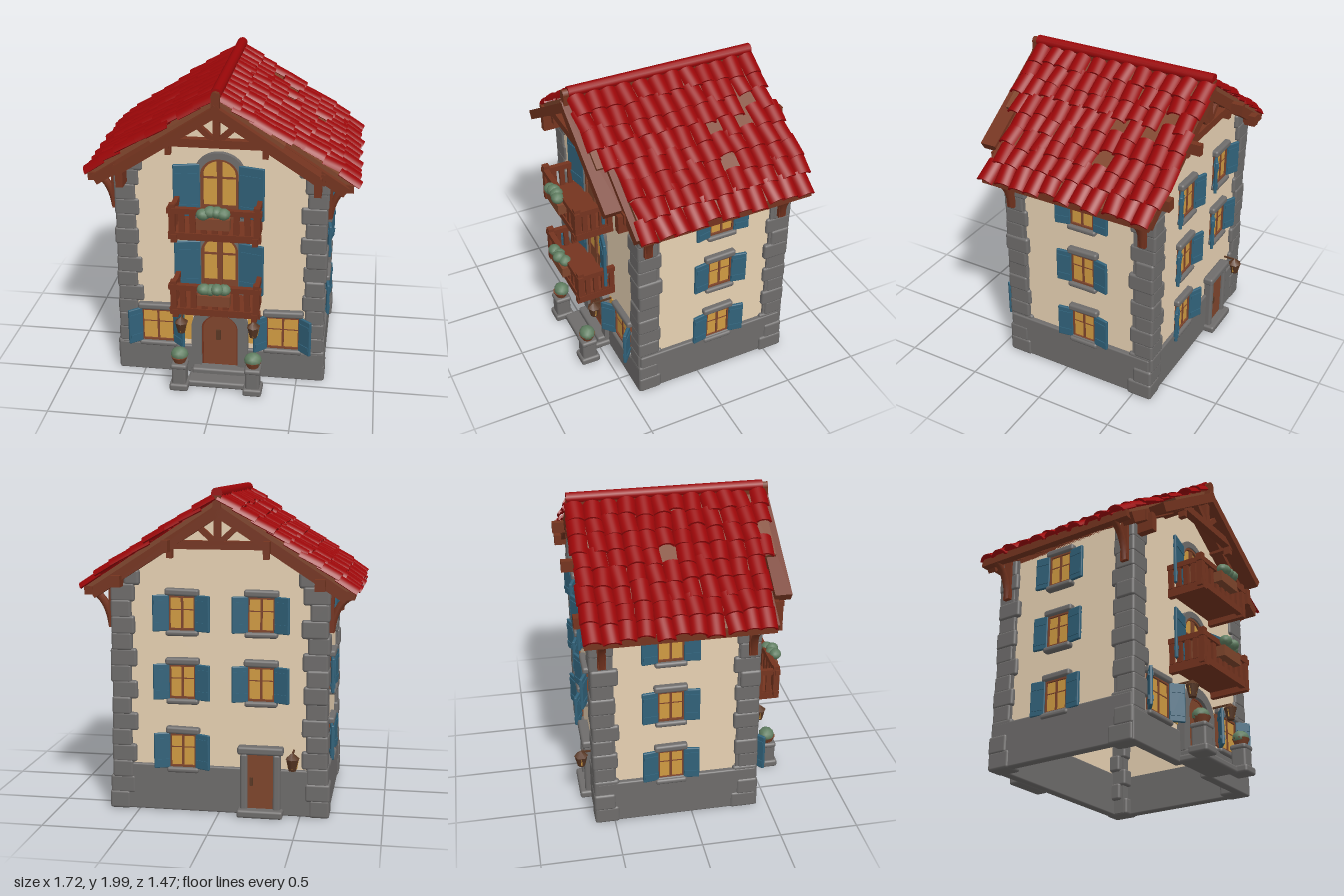
import * as THREE from 'three';
import { toCreasedNormals } from 'three/addons/utils/BufferGeometryUtils.js';
import { RoundedBoxGeometry } from 'three/addons/geometries/RoundedBoxGeometry.js';

const mat = (name, color) => Object.assign(new THREE.MeshStandardMaterial({ color }), { name });
const M = {
  tile: mat('roof red', 0x9a0608), plaster: mat('cream plaster', 0xead4b5), stone: mat('grey stone', 0x6e6c6b),
  wood: mat('red brown wood', 0x75341f), door: mat('rust brown', 0x7f452c), teal: mat('shutter teal', 0x31627a),
  glass: mat('amber glass', 0xd09b42), leaf: mat('leaf green', 0x617f62), iron: mat('dark bronze', 0x5a3824),
};
let seed = 7;
const rnd = (a = 1) => { seed = (seed * 16807) % 2147483647; return (seed / 2147483647 - 0.5) * 2 * a; };

function add(parent, name, geo, material, x = 0, y = 0, z = 0) {
  const m = new THREE.Mesh(geo, material);
  m.name = name;
  m.position.set(x, y, z);
  parent.add(m);
  return m;
}
function sub(parent, name, x = 0, y = 0, z = 0, ry = 0) {
  const g = new THREE.Group();
  g.name = name;
  g.position.set(x, y, z);
  g.rotation.y = ry;
  parent.add(g);
  return g;
}
const box = (p, name, m, w, h, d, x, y, z) => add(p, name, new THREE.BoxGeometry(w, h, d), m, x, y, z);
const soft = (p, name, m, w, h, d, x, y, z, r = 0.015) => add(p, name, new RoundedBoxGeometry(w, h, d, 2, r), m, x, y, z);
// timber between two points of an upright plane
function beam(p, name, x1, y1, x2, y2, z, t, d) {
  const b = box(p, name, M.wood, Math.hypot(x2 - x1, y2 - y1), t, d, (x1 + x2) / 2, (y1 + y2) / 2, z);
  b.rotation.z = Math.atan2(y2 - y1, x2 - x1);
}
// round-topped outline standing on y = 0
function arch(w, h, Kind = THREE.Shape) {
  const s = new Kind(), rise = w * 0.45;
  s.moveTo(-w / 2, 0);
  s.lineTo(w / 2, 0);
  s.lineTo(w / 2, h - rise);
  s.absellipse(0, h - rise, w / 2, rise, 0, Math.PI, false, 0);
  s.lineTo(-w / 2, 0);
  return s;
}
const extrude = (shape, depth) => toCreasedNormals(new THREE.ExtrudeGeometry(shape, { depth, bevelEnabled: false, curveSegments: 10 }), 0.6);
function archRing(w, h, t, depth) {
  const s = arch(w + 2 * t, h + t);
  s.holes.push(arch(w, h, THREE.Path));
  return extrude(s, depth);
}
// pentagon wall from height y0 up to the roof, with rectangular openings [x0, x1, y0, y1]
function gableWall(y0, openings = []) {
  const wall = new THREE.Shape([[-0.64, y0], [0.64, y0], [0.64, 1.46], [0, 1.87], [-0.64, 1.46]].map(q => new THREE.Vector2(...q)));
  for (const [l, r, b, t] of openings) wall.holes.push(new THREE.Path([[l, b], [l, t], [r, t], [r, b]].map(q => new THREE.Vector2(...q))));
  return extrude(wall, 0.03);
}

// pair of plank shutters swung partly open, centred on y = 0
function shutters(p, w, sw, h, angle) {
  for (const s of [-1, 1]) {
    const g = sub(p, 'shutter', s * w / 2, 0, 0.018, -s * (angle + rnd(0.05)));
    soft(g, 'shutterPanel', M.teal, sw, h, 0.02, s * sw / 2, 0, 0, 0.006);
    for (const y of [-0.3, 0.3]) box(g, 'shutterBatten', M.teal, sw * 0.85, 0.025, 0.03, s * sw / 2, y * h, 0);
  }
}
function windowUnit(p, x, y, z, ry, w = 0.16, h = 0.2, angle = 0.15) {
  const g = sub(p, 'window', x, y, z, ry);
  box(g, 'glass', M.glass, w, h, 0.008, 0, 0, 0.006);
  for (const s of [-1, 1]) {
    box(g, 'frameSide', M.door, 0.018, h, 0.026, s * w / 2, 0, 0.008);
    box(g, 'frameRail', M.door, w, 0.016, 0.026, 0, s * h / 2, 0.008);
  }
  box(g, 'glazingBar', M.door, w, 0.006, 0.014, 0, h * 0.1, 0.006);
  box(g, 'mullion', M.door, 0.014, h, 0.02, 0, 0, 0.006);
  soft(g, 'lintel', M.stone, w + 0.05, 0.045, 0.055, 0, h / 2 + 0.025, 0.01).rotation.z = rnd(0.03);
  soft(g, 'sill', M.stone, w + 0.04, 0.035, 0.06, 0, -h / 2 - 0.022, 0.012);
  shutters(g, w, 0.1, h * 1.1, angle);
}
function lantern(p, x, y, z, dir) {
  const g = sub(p, 'lantern', x, y, z);
  add(g, 'lanternCage', new THREE.CylinderGeometry(0.042, 0.024, 0.075, 6), M.iron);
  add(g, 'lanternLight', new THREE.CylinderGeometry(0.036, 0.028, 0.05, 4), M.glass);
  add(g, 'lanternCap', new THREE.ConeGeometry(0.045, 0.04, 6), M.iron, 0, 0.055, 0);
  box(g, 'lanternArm', M.iron, 0.01, 0.01, 0.13, 0, 0.065, -dir * 0.06);
}
function bush(p, n, w, y, z, r) {
  for (let i = 0; i < n; i++) {
    const b = add(p, 'foliage', new THREE.IcosahedronGeometry(r, 1), M.leaf, n > 1 ? (i / (n - 1) - 0.5) * w : 0, y + rnd(0.01), z + rnd(0.014));
    b.scale.set(1.1, 0.9, 1);
    b.rotation.y = i;
  }
}

function balcony(p, y) {
  const g = sub(p, 'balcony', 0, y, 0.41);
  box(g, 'balconyFloor', M.wood, 0.52, 0.025, 0.25, 0, 0.01, 0.125);
  box(g, 'floorBeam', M.wood, 0.56, 0.045, 0.035, 0, 0, 0.235);
  box(g, 'frontRail', M.wood, 0.57, 0.035, 0.035, 0, 0.165, 0.24);
  for (const s of [-1, 1]) {
    box(g, 'sideRail', M.wood, 0.03, 0.035, 0.25, s * 0.255, 0.165, 0.12);
    box(g, 'sideBeam', M.wood, 0.035, 0.05, 0.27, s * 0.245, -0.015, 0.125);
    box(g, 'cornerPost', M.wood, 0.038, 0.22, 0.04, s * 0.255, 0.095, 0.235);
    for (const z of [0.02, 0.075, 0.13, 0.185]) box(g, 'sideBaluster', M.wood, 0.02, 0.15, 0.032, s * 0.255, 0.09, z);
  }
  for (let i = -3; i <= 3; i++) box(g, 'baluster', M.wood, 0.036, 0.15, 0.02, i * 0.066, 0.09, 0.235).rotation.z = rnd(0.05);
  box(g, 'planter', M.door, 0.2, 0.07, 0.06, 0, 0.105, 0.265);
  bush(g, 4, 0.12, 0.173, 0.27, 0.04);
  // arched balcony doorway behind
  const d = sub(g, 'balconyDoor', 0, 0.015, 0);
  add(d, 'doorGlass', extrude(arch(0.21, 0.4), 0.008), M.glass, 0, 0, 0.002);
  add(d, 'doorFrame', archRing(0.2, 0.39, 0.018, 0.025), M.door);
  box(d, 'doorMullion', M.door, 0.034, 0.385, 0.02, 0, 0.195, 0.01);
  box(d, 'doorBar', M.door, 0.2, 0.012, 0.02, 0, 0.28, 0.008);
  box(d, 'doorPanel', M.door, 0.2, 0.1, 0.012, 0, 0.05, 0.008);
  add(d, 'stoneArch', archRing(0.235, 0.405, 0.04, 0.035), M.stone);
  shutters(sub(d, 'doorShutters', 0, 0.2, 0.01), 0.24, 0.165, 0.34, 0.22);
}

// one slope of the roof; s is the side, local x runs down the slope
const TILT = 0.576;
function roofSlope(p, s) {
  const g = sub(p, 'roofSlope', 0, 1.925, 0);
  g.rotation.z = -s * TILT;
  box(g, 'roofDeck', M.door, 0.95, 0.03, 1.1, s * 0.475, -0.012, -0.1);
  box(g, 'frontDeck', M.door, 0.48, 0.03, 0.12, s * 0.24, -0.012, 0.5);
  // curved clay tile
  const arc = new THREE.Shape();
  arc.absarc(0, -0.028, 0.062, 0.45, Math.PI - 0.45, false);
  arc.absarc(0, -0.028, 0.048, Math.PI - 0.45, 0.45, true);
  const geo = toCreasedNormals(new THREE.ExtrudeGeometry(arc, { depth: 0.15, bevelEnabled: false, curveSegments: 6 }), 0.8);
  geo.translate(0, 0, -0.075).rotateY(Math.PI / 2);
  for (let r = 0; r < 8; r++) {
    const cols = r < 4 ? 12 : 11, drop = r === 7 ? 0.01 : 0, back = s > 0 && r > 2 && r < 7 ? 0.025 : 0;
    for (let c = 0; c < cols; c++) {
      if (rnd() > 0.92 && c > 0 && r > 0 && r < 7) continue;
      const shift = r === 3 && c === 11 ? 0.04 : 0;
      const t = add(g, 'roofTile', geo, M.tile, s * (0.065 + r * 0.1205 + rnd(0.016)), 0.014 - drop + rnd(0.006), -0.612 - back + c * 0.1035 - shift + rnd(0.009));
      t.rotation.set(rnd(0.1), rnd(0.1), s * (0.08 - drop * 10) + rnd(0.03));
    }
  }
  // sloping gable timbers
  box(g, 'frontRafter', M.wood, 0.75, 0.06, 0.105, s * 0.375, -0.05, 0.555);
  box(g, 'outerRafter', M.wood, 0.95, 0.065, 0.08, s * 0.475, -0.055, 0.45);
  box(g, 'backRafter', M.wood, 0.95, 0.065, 0.06, s * 0.475, -0.055, -0.625);
  for (let i = 0; i < 5; i++) box(g, 'rafterTail', M.wood, 0.22, 0.04, 0.04, s * 0.83, -0.045, 0.25 - i * 0.18);
}
function truss(p, z) {
  const g = sub(p, 'gableTruss', 0, 0, z);
  beam(g, 'collarBeam', -0.33, 1.66, 0.33, 1.66, 0, 0.05, 0.05);
  beam(g, 'kingPost', 0, 1.67, 0, 1.89, 0, 0.04, 0.045);
  for (const s of [-1, 1]) {
    beam(g, 'strut', s * 0.02, 1.68, s * 0.15, 1.8, 0, 0.034, 0.035);
    beam(g, 'sideStrut', s * 0.29, 1.58, s * 0.29, 1.7, 0, 0.035, 0.045);
  }
}

export function createModel() {
  const house = new THREE.Group();
  house.name = 'house';

  // hollow plaster walls on a stone plinth
  const openings = [[-0.11, 0.11, 0.16, 0.4], [0.31, 0.5, 0.25, 0.45], [-0.5, -0.31, 0.25, 0.45]];
  add(house, 'frontWall', gableWall(0.15, openings), M.plaster, 0, 0, 0.38);
  add(house, 'backWall', gableWall(0.28), M.plaster, 0, 0, -0.6);
  for (const s of [-1, 1]) {
    box(house, 'sideWall', M.plaster, 0.03, 1.18, 0.96, s * 0.625, 0.87, -0.095);
    soft(house, 'sidePlinth', M.stone, 0.06, 0.29, 1.02, s * 0.64, 0.16, -0.095, 0.01);
    soft(house, 'frontPlinth', M.stone, 0.53, 0.2, 0.06, s * 0.405, 0.11, 0.4, 0.01);
  }
  soft(house, 'backPlinth', M.stone, 1.3, 0.29, 0.06, 0, 0.16, -0.59, 0.01);

  // corner piers faced with stones, alternating long and short
  for (const sx of [-1, 1]) for (const front of [true, false]) {
    const sz = front ? 1 : -1, face = front ? 0.425 : -0.625;
    box(house, 'cornerPier', M.stone, 0.105, 1.4, 0.13, sx * 0.6025, 0.72, face - sz * 0.077);
    for (let i = 0; i < 14; i++) {
      const long = i % 2, w = (long ? 0.155 : 0.125) + rnd(0.01), d = (long ? 0.135 : 0.16) + rnd(0.01);
      const out = (i < 2 ? 0.68 : 0.665) + rnd(0.006);
      soft(house, 'cornerStone', M.stone, w, 0.114, d, sx * (out - w / 2), 0.068 + i * 0.1, face + rnd(0.005) - sz * d / 2, 0.016);
    }
    soft(house, 'topStone', M.stone, 0.1, 0.1, 0.06, sx * 0.53, 1.46, face - sz * 0.03, 0.02);
  }

  // windows of the sides, back and ground floor front
  for (const y of [0.4, 0.83, 1.25]) {
    windowUnit(house, 0.64, y, -0.135, Math.PI / 2);
    windowUnit(house, -0.64, y, -0.135, -Math.PI / 2);
    windowUnit(house, 0.22, y, -0.6, Math.PI, 0.16, 0.2, 0.4);
    if (y > 0.5) windowUnit(house, -0.26, y, -0.6, Math.PI, 0.16, 0.2, 0.4);
  }
  for (const s of [-1, 1]) {
    windowUnit(house, s * 0.405, 0.35, 0.41, 0, 0.21, 0.22, 0.7);
    box(house, 'sideLight', M.glass, 0.11, 0.2, 0.008, s * 0.235, 0.35, 0.413);
    box(house, 'sideLightPanel', M.door, 0.045, 0.21, 0.016, s * 0.275, 0.35, 0.415);
  }

  // main entrance
  const entry = sub(house, 'entrance', 0, 0, 0.41);
  add(entry, 'frontDoor', extrude(arch(0.23, 0.37), 0.02), M.door, 0, 0.09, 0.005);
  add(entry, 'doorTrim', archRing(0.215, 0.36, 0.012, 0.03), M.wood, 0, 0.09, 0);
  add(entry, 'stoneSurround', archRing(0.235, 0.38, 0.065, 0.05), M.stone, 0, 0.085, 0);
  box(entry, 'knocker', M.iron, 0.03, 0.07, 0.02, -0.01, 0.31, 0.025);
  soft(entry, 'upperStep', M.stone, 0.35, 0.08, 0.1, 0, 0.05, 0.05);
  soft(entry, 'lowerStep', M.stone, 0.38, 0.045, 0.2, 0, 0.033, 0.1);
  for (const s of [-1, 1]) {
    const post = sub(house, 'stonePost', s * 0.235, 0, 0.61);
    soft(post, 'postBase', M.stone, 0.12, 0.05, 0.13, 0, 0.035, 0);
    soft(post, 'postShaft', M.stone, 0.09, 0.14, 0.1, 0, 0.11, 0);
    soft(post, 'postCap', M.stone, 0.105, 0.035, 0.11, 0, 0.18, 0);
    add(post, 'flowerPot', new THREE.CylinderGeometry(0.055, 0.035, 0.045, 10), M.door, 0, 0.217, 0);
    bush(post, 1, 0, 0.248, 0, 0.052);
    lantern(house, s * 0.23, 0.415, 0.55, 1);
  }

  // back door
  const back = sub(house, 'backDoor', -0.26, 0, -0.615, Math.PI);
  box(back, 'backDoorPanel', M.door, 0.17, 0.35, 0.02, 0, 0.23, 0.01);
  for (const s of [-1, 1]) soft(back, 'doorJamb', M.stone, 0.045, 0.37, 0.06, s * 0.1, 0.22, 0.01);
  soft(back, 'doorLintel', M.stone, 0.28, 0.05, 0.07, 0, 0.425, 0.015);
  soft(back, 'backStep', M.stone, 0.28, 0.05, 0.09, 0, 0.035, 0.03);
  box(back, 'doorHandle', M.iron, 0.02, 0.05, 0.015, -0.055, 0.23, 0.025);
  lantern(house, -0.46, 0.36, -0.68, -1);

  balcony(house, 0.59);
  balcony(house, 1.1);

  // roof
  const roof = sub(house, 'roof');
  for (const s of [-1, 1]) {
    roofSlope(roof, s);
    box(roof, 'eaveBeam', M.wood, 0.05, 0.05, 1.13, s * 0.785, 1.38, -0.095);
    box(roof, 'wallPlate', M.wood, 0.06, 0.07, 1.2, s * 0.61, 1.44, -0.1);
    box(roof, 'upperPurlin', M.wood, 0.04, 0.07, 1.3, s * 0.3, 1.655, -0.08);
    for (const z of [0.365, -0.55]) {
      const curve = new THREE.QuadraticBezierCurve3(new THREE.Vector3(s * 0.8, 1.37, z), new THREE.Vector3(s * 0.69, 1.33, z), new THREE.Vector3(s * 0.67, 1.15, z));
      add(roof, 'eaveBracket', new THREE.TubeGeometry(curve, 8, 0.024, 6), M.wood);
      box(roof, 'bracketPost', M.wood, 0.04, 0.27, 0.05, s * 0.665, 1.28, z);
    }
    box(roof, 'frontPurlinEnd', M.wood, 0.045, 0.12, 0.12, s * 0.6, 1.4, 0.47);
  }
  truss(roof, 0.545);
  truss(roof, -0.625);
  const ridge = add(roof, 'ridgeTiles', new THREE.CylinderGeometry(0.034, 0.034, 1.22, 12), M.tile, 0, 1.962, -0.045);
  ridge.rotation.x = Math.PI / 2;
  box(roof, 'ridgeBeam', M.wood, 0.05, 0.08, 1.26, 0, 1.91, -0.03);
  add(roof, 'ridgeKnob', new THREE.CylinderGeometry(0.028, 0.028, 0.04, 8), M.wood, 0, 1.955, 0.58).rotation.x = Math.PI / 2;
  return house;
}
